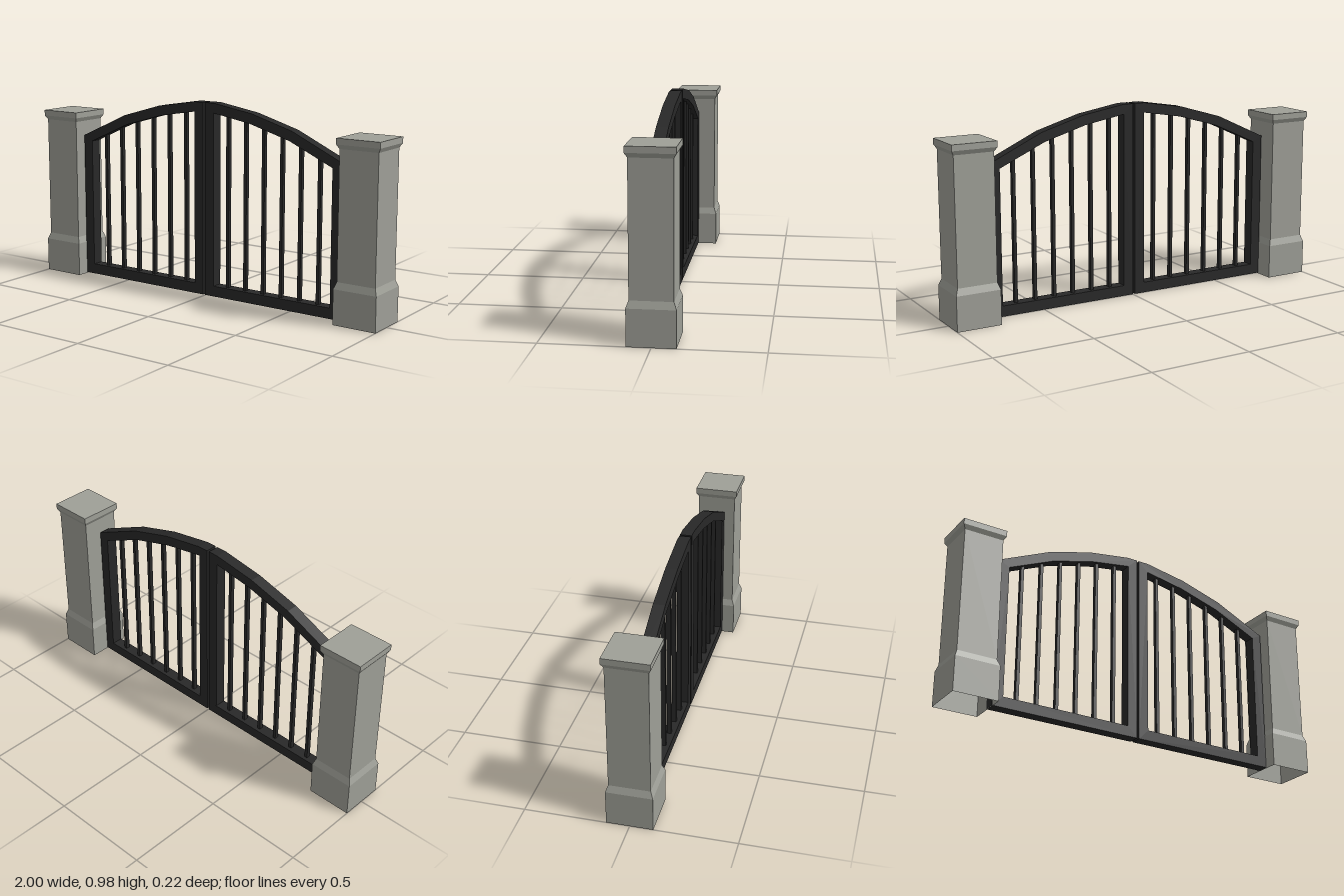
import * as THREE from 'three';

export function createModel() {
  const stone = new THREE.MeshStandardMaterial({ color: 0x9e9f97, flatShading: true, side: THREE.DoubleSide });
  stone.name = 'stone';
  const iron = new THREE.MeshStandardMaterial({ color: 0x282828, flatShading: true });
  iron.name = 'blackIron';

  const model = new THREE.Group();
  model.name = 'drivewayGate';

  // Pillar with open underside, slightly wider than deep: [half width, height] from base to cap
  const profile = [
    [0.11, 0], [0.11, 0.172], [0.098, 0.205], [0.098, 0.824],
    [0.11, 0.845], [0.11, 0.874], [0, 0.874],
  ].map(([r, y]) => new THREE.Vector2(r * Math.SQRT2, y));
  const pillarGeometry = new THREE.LatheGeometry(profile, 4, Math.PI / 4);
  pillarGeometry.scale(1.014, 1, 1);

  // Arched top edge of one leaf, outer and inner, from the outer post to the middle
  const outer = [[0.778, 0.75], [0.505, 0.875], [0.28, 0.94], [0.06, 0.976], [0.006, 0.976]];
  const inner = [[0.058, 0.927], [0.27, 0.891], [0.49, 0.828], [0.725, 0.723]];
  const toPoints = (list) => list.map(([x, y]) => new THREE.Vector2(x, y));

  // Leaf frame: posts, bottom rail and arched rail as one outline with an opening
  const depth = 0.058;
  const frameShape = new THREE.Shape(toPoints([[0.006, 0.004], [0.778, 0.004], ...outer]));
  frameShape.holes.push(new THREE.Path(toPoints([[0.058, 0.057], ...inner, [0.725, 0.057]])));
  const frameGeometry = new THREE.ExtrudeGeometry(frameShape, { depth, bevelEnabled: false });
  frameGeometry.translate(0, 0, -depth / 2);

  // Height of the arched rail's underside at x
  const archHeight = (x) => {
    const i = Math.max(1, inner.findIndex((p) => p[0] >= x));
    const [x0, y0] = inner[i - 1];
    const [x1, y1] = inner[i];
    return y0 + ((y1 - y0) * (x - x0)) / (x1 - x0);
  };

  const makeLeaf = (name) => {
    const leaf = new THREE.Group();
    leaf.name = name;
    const frame = new THREE.Mesh(frameGeometry, iron);
    frame.name = 'leafFrame';
    leaf.add(frame);
    // Upright bars, ends sunk into the rails
    for (let i = 0; i < 6; i++) {
      const x = 0.128 + i * 0.1035;
      const bottom = 0.04;
      const top = archHeight(x) + 0.015;
      const bar = new THREE.Mesh(new THREE.BoxGeometry(0.016, top - bottom, 0.021), iron);
      bar.name = 'uprightBar';
      bar.position.set(x, (top + bottom) / 2, 0);
      leaf.add(bar);
    }
    leaf.position.z = 0.017;
    return leaf;
  };

  // Left and right halves
  for (const side of [1, -1]) {
    const label = side > 0 ? 'left' : 'right';
    const pillar = new THREE.Mesh(pillarGeometry, stone);
    pillar.name = label + 'Pillar';
    pillar.position.x = side * 0.8885;
    const leaf = makeLeaf(label + 'Leaf');
    if (side < 0) leaf.rotation.y = Math.PI;
    model.add(pillar, leaf);
  }
  return model;
}
